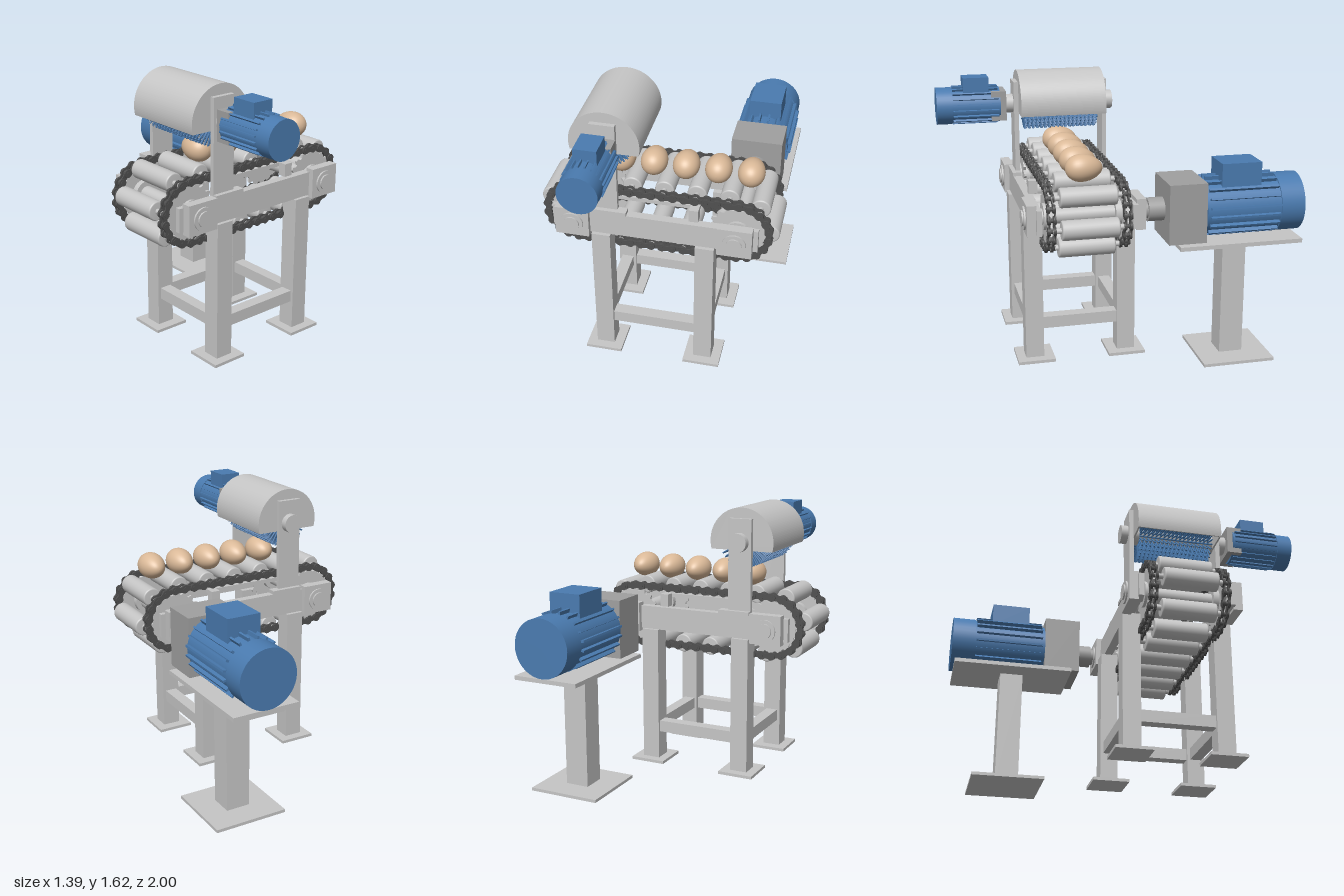
import * as THREE from 'three';
import { mergeGeometries } from 'three/addons/utils/BufferGeometryUtils.js';

const material = (name, color) => Object.assign(new THREE.MeshStandardMaterial({ color }), { name });

export function createModel() {
  const steel = material('light steel', 0xc6c6c6);
  const gear = material('gearbox grey', 0xa0a0a0);
  const dark = material('chain grey', 0x505050);
  const blue = material('motor blue', 0x4a7bb0);
  const shell = material('eggshell', 0xdab998);

  const root = new THREE.Group();
  root.name = 'eggBrushingConveyor';
  const midZ = 0.2565, axleX = 0.465, axleY = 0.915, pitchR = 0.178;
  const brushX = -0.28, brushY = 1.415;

  const add = (name, geo, mat, parent = root) => {
    const m = new THREE.Mesh(geo, mat);
    m.name = name;
    parent.add(m);
    return m;
  };
  // Box given by its limits on each axis
  const box = (name, mat, x0, x1, y0, y1, z0, z1, parent) => {
    const m = add(name, new THREE.BoxGeometry(x1 - x0, y1 - y0, z1 - z0), mat, parent);
    m.position.set((x0 + x1) / 2, (y0 + y1) / 2, (z0 + z1) / 2);
    return m;
  };
  // Cylinder along z
  const rod = (name, mat, r, x, y, z0, z1, parent, sides = 32) => {
    const m = add(name, new THREE.CylinderGeometry(r, r, Math.abs(z1 - z0), sides).rotateX(Math.PI / 2), mat, parent);
    m.position.set(x, y, (z0 + z1) / 2);
    return m;
  };
  // Box on both sides of the conveyor, measured outward from its middle plane
  const sideBox = (name, mat, x0, x1, y0, y1, a, b) => {
    box(name, mat, x0, x1, y0, y1, midZ + a, midZ + b);
    box(name, mat, x0, x1, y0, y1, midZ - b, midZ - a);
  };
  const sideRod = (name, mat, r, x, y, a, b) => {
    for (const s of [-1, 1]) rod(name, mat, r, x, y, midZ + s * a, midZ + s * b);
  };

  // Legs, feet and lower braces
  for (const x of [-0.302, 0.297]) {
    sideBox('leg', steel, x - 0.054, x + 0.054, 0.018, 0.846, 0.2205, 0.3265);
    sideBox('foot', steel, x - 0.109, x + 0.109, 0, 0.018, 0.16, 0.379);
    box('crossBrace', steel, x - 0.036, x + 0.036, 0.187, 0.258, midZ - 0.2205, midZ + 0.2205);
  }
  sideBox('longBrace', steel, -0.248, 0.243, 0.187, 0.258, 0.238, 0.309);

  // Side beams with bearings and chain support rails
  sideBox('sideBeam', steel, -0.37, 0.37, 0.845, 0.987, 0.255, 0.305);
  sideBox('chainRail', steel, -0.3, 0.25, 1.04, 1.063, 0.2, 0.225);
  sideBox('railBracket', steel, 0.197, 0.25, 0.987, 1.063, 0.225, 0.275);
  for (const s of [-1, 1]) {
    const x = s * axleX, p = s * 0.475;
    sideBox('bearingPlate', steel, p - 0.115, p + 0.115, 0.845, 0.985, 0.255, 0.285);
    sideBox('bearingBlock', steel, x - 0.098, x + 0.098, 0.829, 1.008, 0.28, 0.335);
    sideRod('bearingRing', steel, 0.067, x, axleY, 0.335, 0.345);
    rod('axle', steel, 0.045, x, axleY, midZ - 0.354, midZ + 0.354);
  }

  // Toothed sprockets
  const toothed = new THREE.Shape();
  for (let i = 0; i < 72; i++) {
    const a = i / 72 * Math.PI * 2, r = i % 4 < 2 ? 0.148 : 0.168;
    toothed[i ? 'lineTo' : 'moveTo'](r * Math.cos(a), r * Math.sin(a));
  }
  const sprocketGeo = new THREE.ExtrudeGeometry(toothed, { depth: 0.014, bevelEnabled: false }).translate(0, 0, -0.007);
  for (const x of [-axleX, axleX]) for (const s of [-1, 1]) {
    add('sprocket', sprocketGeo, steel).position.set(x, axleY, midZ + s * 0.212);
    rod('sprocketHub', steel, 0.075, x, axleY, midZ + s * 0.17, midZ + s * 0.235);
  }

  // Closed path around both sprockets
  const run = 2 * axleX, bend = Math.PI * pitchR, loop = 2 * (run + bend);
  const onPath = (d) => {
    d = (d % loop + loop) % loop;
    const back = d >= loop / 2 ? -1 : 1;
    d %= loop / 2;
    const a = Math.max(0, d - run) / pitchR;
    const x = -axleX + Math.min(d, run) + pitchR * Math.sin(a), y = pitchR * Math.cos(a);
    return new THREE.Vector2(back * x, axleY + back * y);
  };

  // Chains of waisted links alternating between inner and outer plates
  const links = 48, pitch = loop / links, start = 0.498, R = 0.024;
  const plate = new THREE.Shape();
  plate.absarc(pitch / 2, 0, R, -2.2, 2.2, false);
  plate.quadraticCurveTo(0, 0.01, -pitch / 2 + R * 0.59, R * 0.81);
  plate.absarc(-pitch / 2, 0, R, Math.PI - 2.2, Math.PI + 2.2, false);
  plate.quadraticCurveTo(0, -0.01, pitch / 2 - R * 0.59, -R * 0.81);
  const plateGeo = new THREE.ExtrudeGeometry(plate, { depth: 0.007, bevelEnabled: false, curveSegments: 8 }).translate(0, 0, -0.0035);
  const pinGeo = new THREE.CylinderGeometry(0.012, 0.012, 0.052, 10).rotateX(Math.PI / 2);
  const chainParts = [], pinParts = [];
  for (let i = 0; i < links; i++) {
    const a = onPath(start + i * pitch), b = onPath(start + (i + 1) * pitch);
    const turn = Math.atan2(b.y - a.y, b.x - a.x);
    for (const s of [-1, 1]) {
      chainParts.push(plateGeo.clone().rotateZ(turn)
        .translate((a.x + b.x) / 2, (a.y + b.y) / 2, s * (i % 2 ? 0.012 : 0.02)));
    }
    pinParts.push(pinGeo.clone().translate(a.x, a.y, 0));
  }
  const chainGeo = mergeGeometries(chainParts), pinsGeo = mergeGeometries(pinParts);
  for (const s of [-1, 1]) {
    add('chainPlates', chainGeo, dark).position.z = midZ + s * 0.212;
    add('chainPins', pinsGeo, dark).position.z = midZ + s * 0.212;
  }

  // Carrying rollers on every third chain pin
  const rollerProfile = [[0, -0.16], [0.048, -0.16], [0.054, -0.157], [0.056, -0.15],
    [0.056, 0.15], [0.054, 0.157], [0.048, 0.16], [0, 0.16]].map(([r, y]) => new THREE.Vector2(r, y));
  const rollerGeo = new THREE.LatheGeometry(rollerProfile, 28).rotateX(Math.PI / 2);
  for (let i = 0; i < links; i += 3) {
    const p = onPath(start + i * pitch);
    add('roller', rollerGeo, steel).position.set(p.x, p.y, midZ);
    rod('rollerPin', steel, 0.016, p.x, p.y, midZ - 0.205, midZ + 0.205, root, 12);
  }

  // Eggs, narrower toward the back
  const eggProfile = [];
  for (let i = 0; i <= 24; i++) {
    const t = i / 24 * Math.PI, c = Math.cos(t);
    eggProfile.push(new THREE.Vector2(0.077 * Math.sin(t) * (1 - 0.14 * c - 0.01), -0.104 * c));
  }
  const eggGeo = new THREE.LatheGeometry(eggProfile, 32).rotateX(Math.PI / 2);
  for (let i = 0; i < 5; i++) add('egg', eggGeo, shell).position.set(-0.243 + i * 0.186, 1.19, 0.262);

  // Uprights carrying the brush
  sideBox('brushUpright', steel, -0.352, -0.208, 0.987, 1.553, 0.2565, 0.284);
  sideBox('uprightBase', steel, -0.352, -0.155, 0.987, 1.009, 0.2565, 0.31);
  rod('brushShaft', steel, 0.056, brushX, brushY, -0.07, 0.588);

  // Hood with closed ends
  const lo = -0.26, hi = Math.PI + 0.26;
  const shellShape = new THREE.Shape();
  shellShape.absarc(0, 0, 0.2, lo, hi, false);
  shellShape.absarc(0, 0, 0.188, hi, lo, true);
  const endShape = new THREE.Shape();
  endShape.moveTo(0, 0);
  endShape.absarc(0, 0, 0.2, lo, hi, false);
  const extrude = (shape, depth) => new THREE.ExtrudeGeometry(shape, { depth, bevelEnabled: false, curveSegments: 40 });
  add('hoodShell', extrude(shellShape, 0.493), steel).position.set(brushX, brushY, 0.01);
  for (const z of [0, 0.503]) add('hoodEnd', extrude(endShape, 0.01), steel).position.set(brushX, brushY, z);

  // Rotary brush bristles
  const bristleGeo = new THREE.CylinderGeometry(0.005, 0.005, 0.11, 5).translate(0, 0.105, 0);
  const bristles = [];
  for (let j = 0; j < 18; j++) for (let i = 0; i < 36; i++) {
    bristles.push(bristleGeo.clone().rotateZ(i / 36 * Math.PI * 2).translate(0, 0, 0.045 + j * 0.025));
  }
  add('brushBristles', mergeGeometries(bristles), blue).position.set(brushX, brushY, 0);

  // Finned electric motor running along its own +z
  const makeMotor = (name, scale) => {
    const g = new THREE.Group();
    g.name = name;
    rod('motorBody', blue, 0.162, 0, 0, 0, 0.44, g, 40);
    rod('motorFanCover', blue, 0.17, 0, 0, 0.44, 0.58, g, 40);
    box('terminalBox', blue, -0.098, 0.098, 0.12, 0.264, 0.1, 0.335, g);
    for (let i = 0; i < 20; i++) {
      const a = (i + 0.5) / 20 * Math.PI * 2;
      const fin = add('coolingFin', new THREE.BoxGeometry(0.035, 0.012, 0.415), blue, g);
      const r = Math.sin(a) < -0.8 ? 0.155 : 0.166;
      fin.position.set(r * Math.cos(a), r * Math.sin(a), 0.225);
      fin.rotation.z = a;
    }
    g.scale.setScalar(scale);
    root.add(g);
    return g;
  };

  // Brush drive
  box('brushGearbox', gear, brushX - 0.09, brushX + 0.09, 1.328, 1.503, 0.588, 0.678);
  makeMotor('brushMotor', 0.65).position.set(brushX, brushY, 0.623 + 0.0);
  root.getObjectByName('brushMotor').position.z = 1 - 0.58 * 0.65;
  rod('brushMotorNeck', blue, 0.085, brushX, brushY, 0.6, 0.7);

  // Conveyor drive and its stand
  rod('coupling', gear, 0.068, 0.463, axleY, -0.21, -0.107);
  rod('couplingShaft', gear, 0.05, 0.463, axleY, -0.11, -0.08);
  box('driveGearbox', gear, 0.307, 0.614, 0.74, 1.088, -0.42, -0.2);
  const drive = makeMotor('driveMotor', 1);
  drive.position.set(0.463, axleY, -0.42);
  drive.rotation.y = Math.PI;
  box('motorPlate', steel, 0.262, 0.658, 0.714, 0.738, -0.98, -0.255);
  box('standColumn', steel, 0.39, 0.533, 0.018, 0.714, -0.685, -0.545);
  box('standFoot', steel, 0.246, 0.678, 0, 0.018, -0.834, -0.406);

  return root;
}
